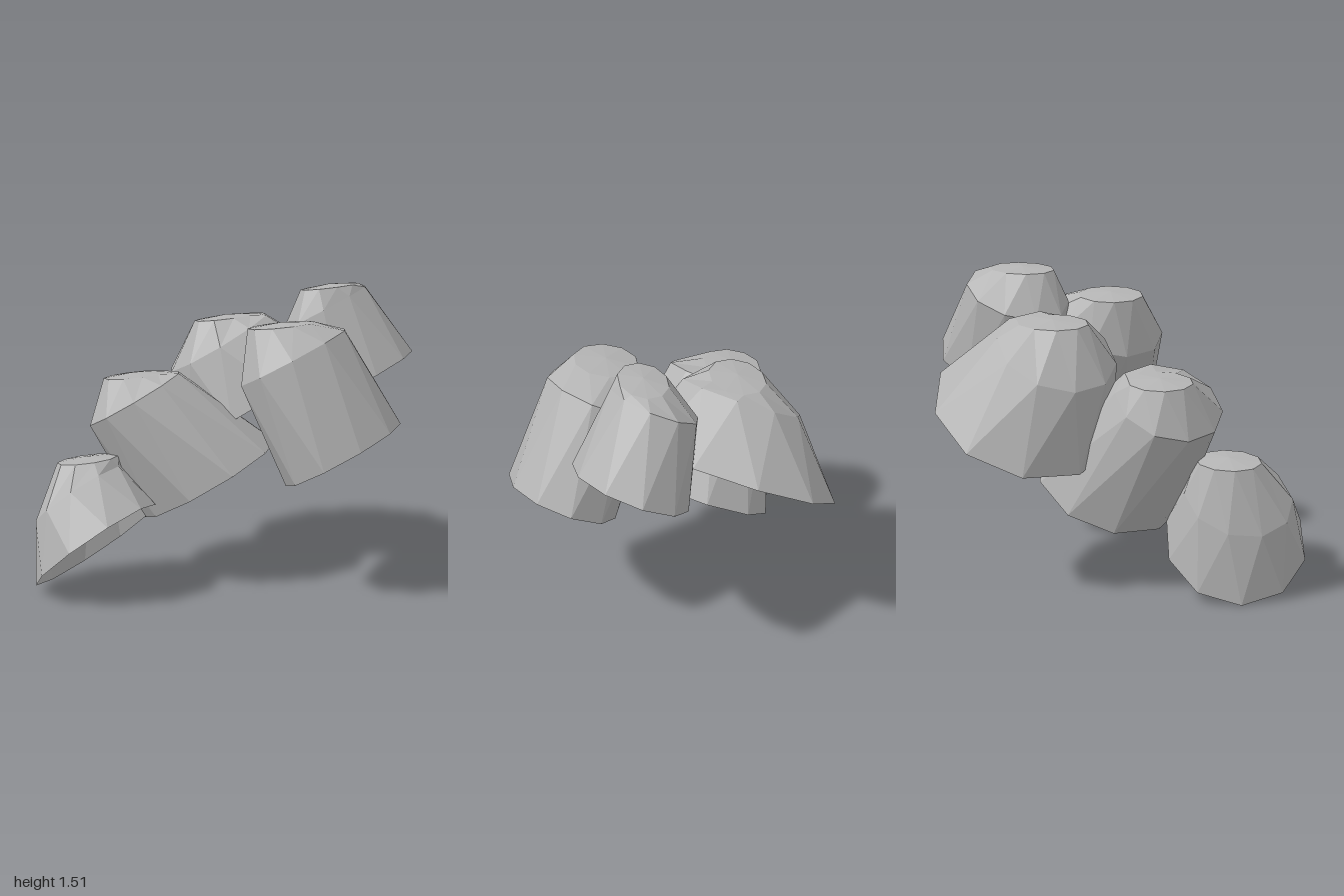
import * as THREE from 'three';

const SIDES = 10;
const CROWN_AXIS = [-0.03, 1, -0.12];

// Each shell is an open dome: its tilt and rings of [x, y, z, radiusX, radiusZ]
// running from the open rim over the shoulder to the flatter crown.
const shells = [
  { name: 'lowerLeftShell', axis: [-0.25, 0.78, -0.58],
    rings: [[-0.655, 0.25, -0.265, 0.355, 0.385], [-0.68, 0.5, -0.36, 0.27, 0.24], [-0.63, 0.675, -0.36, 0.16, 0.14]] },
  { name: 'middleLeftShell', axis: [-0.343, 0.857, -0.381],
    rings: [[-0.01, 0.51, -0.16, 0.39, 0.415], [-0.335, 0.95, -0.36, 0.27, 0.285], [-0.3, 1.06, -0.41, 0.16, 0.15]] },
  { name: 'frontShell', axis: [-0.286, 0.874, -0.39],
    rings: [[0.3, 0.725, 0.53, 0.35, 0.28], [0.148, 1.205, 0.32, 0.32, 0.27], [0.1, 1.365, 0.28, 0.17, 0.16]] },
  { name: 'upperRightShell', axis: [-0.286, 0.874, -0.39],
    rings: [[0.675, 1.01, 0.23, 0.34, 0.29], [0.55, 1.385, 0.1, 0.27, 0.22], [0.54, 1.505, 0.15, 0.17, 0.12]] },
  { name: 'backShell', axis: [-0.369, 0.858, -0.36],
    rings: [[0.39, 0.87, -0.315, 0.47, 0.52], [0.22, 1.18, -0.37, 0.3, 0.31], [0.25, 1.315, -0.34, 0.18, 0.14]] },
];

function tiltTo(axis) {
  return new THREE.Quaternion().setFromUnitVectors(
    new THREE.Vector3(0, 1, 0), new THREE.Vector3(...axis).normalize());
}

// Join tilted rings into walls and close the crown with a fan
function domeGeometry(axis, rings) {
  const shellTilt = tiltTo(axis), crownTilt = tiltTo(CROWN_AXIS);
  const last = rings.length - 1;
  const positions = [], index = [];
  rings.forEach(([x, y, z, rx, rz], row) => {
    for (let i = 0; i < SIDES; i++) {
      const angle = ((i + row * 0.5) / SIDES) * Math.PI * 2;
      const p = new THREE.Vector3(rx * Math.cos(angle), 0, rz * Math.sin(angle))
        .applyQuaternion(row === last ? crownTilt : shellTilt);
      positions.push(x + p.x, y + p.y, z + p.z);
    }
  });
  positions.push(rings[last][0], rings[last][1] + 0.015, rings[last][2]);
  for (let i = 0; i < SIDES; i++) {
    const j = (i + 1) % SIDES;
    for (let row = 0; row < last; row++) {
      const low = row * SIDES, high = low + SIDES;
      index.push(low + i, high + i, low + j, low + j, high + i, high + j);
    }
    index.push(last * SIDES + i, rings.length * SIDES, last * SIDES + j);
  }
  const geometry = new THREE.BufferGeometry();
  geometry.setAttribute('position', new THREE.Float32BufferAttribute(positions, 3));
  geometry.setIndex(index);
  const flat = geometry.toNonIndexed();
  flat.computeVertexNormals();
  return flat;
}

export function createModel() {
  const model = new THREE.Group();
  model.name = 'shellCluster';
  const grey = new THREE.MeshStandardMaterial({ color: 0xb4b4b4, flatShading: true, side: THREE.DoubleSide });
  grey.name = 'stone grey';
  for (const { name, axis, rings } of shells) {
    const shell = new THREE.Mesh(domeGeometry(axis, rings), grey);
    shell.name = name;
    model.add(shell);
  }
  return model;
}
